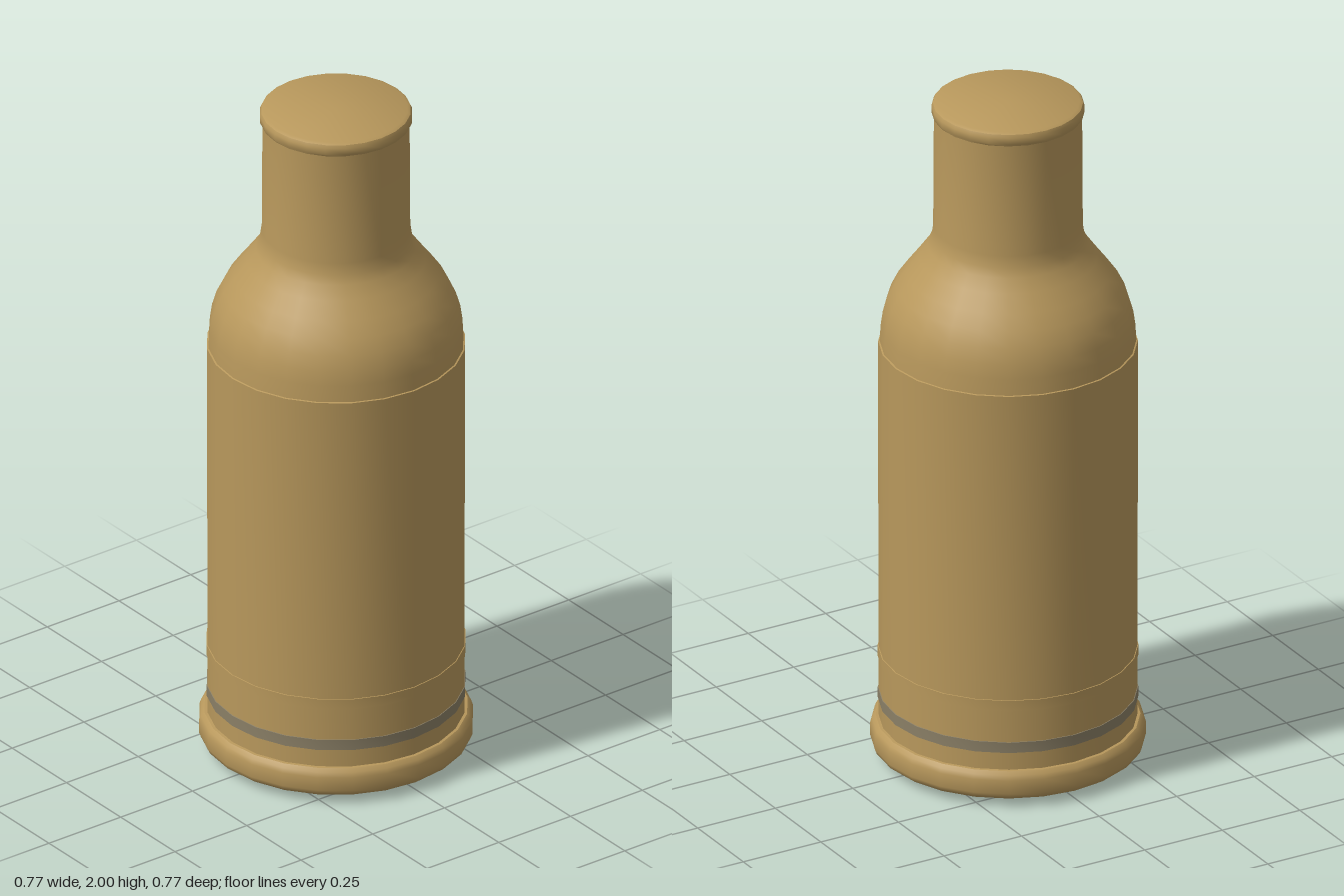
import * as THREE from 'three';
import { toCreasedNormals } from 'three/addons/utils/BufferGeometryUtils.js';

const SIDES = 24;

export function createModel() {
  const group = new THREE.Group();
  const brass = new THREE.MeshStandardMaterial({ color: 0xb8985c });
  brass.name = 'brass';
  const dullMetal = new THREE.MeshStandardMaterial({ color: 0x8a7f66 });
  dullMetal.name = 'dull metal';

  // Turned part from [radius, height] pairs, listed from bottom to top
  function turn(name, profile, material) {
    const points = profile.map(([r, y]) => new THREE.Vector2(r, y));
    const geometry = toCreasedNormals(new THREE.LatheGeometry(points, SIDES), 0.6);
    const mesh = new THREE.Mesh(geometry, material);
    mesh.name = name;
    group.add(mesh);
  }

  // Base disc with rounded rim
  turn('baseRim', [
    [0, 0.008], [0.2, 0.01], [0.325, 0.014], [0.335, 0.024], [0.368, 0.024],
    [0.378, 0.032], [0.383, 0.045], [0.383, 0.085], [0.378, 0.099], [0.368, 0.108], [0.35, 0.11],
  ], brass);

  // Central cap under the base, with a small dimple ring
  turn('primer', [[0, 0.003], [0.042, 0.003], [0.046, 0], [0.1, 0], [0.108, 0.004], [0.108, 0.012]], dullMetal);

  // Straight body wall
  turn('body', [[0.36, 0.105], [0.361, 1.26], [0.354, 1.262]], brass);

  // Shoulder curving in to the neck
  turn('shoulderAndNeck', [
    [0.357, 1.255], [0.354, 1.31], [0.348, 1.352], [0.335, 1.395], [0.314, 1.437],
    [0.285, 1.478], [0.25, 1.524], [0.224, 1.56], [0.213, 1.586], [0.208, 1.62], [0.206, 1.965],
  ], brass);

  // Closed mouth with a small rolled lip
  turn('mouthLip', [
    [0.2, 1.958], [0.209, 1.96], [0.213, 1.967], [0.213, 1.986], [0.209, 1.995], [0.2, 2], [0, 2],
  ], brass);

  // Bands around the lower body
  turn('lowerBand', [[0.358, 0.16], [0.362, 0.161], [0.362, 0.193], [0.358, 0.194]], dullMetal);
  turn('upperBand', [[0.358, 0.289], [0.3625, 0.29], [0.3625, 0.322], [0.358, 0.323]], brass);

  return group;
}
